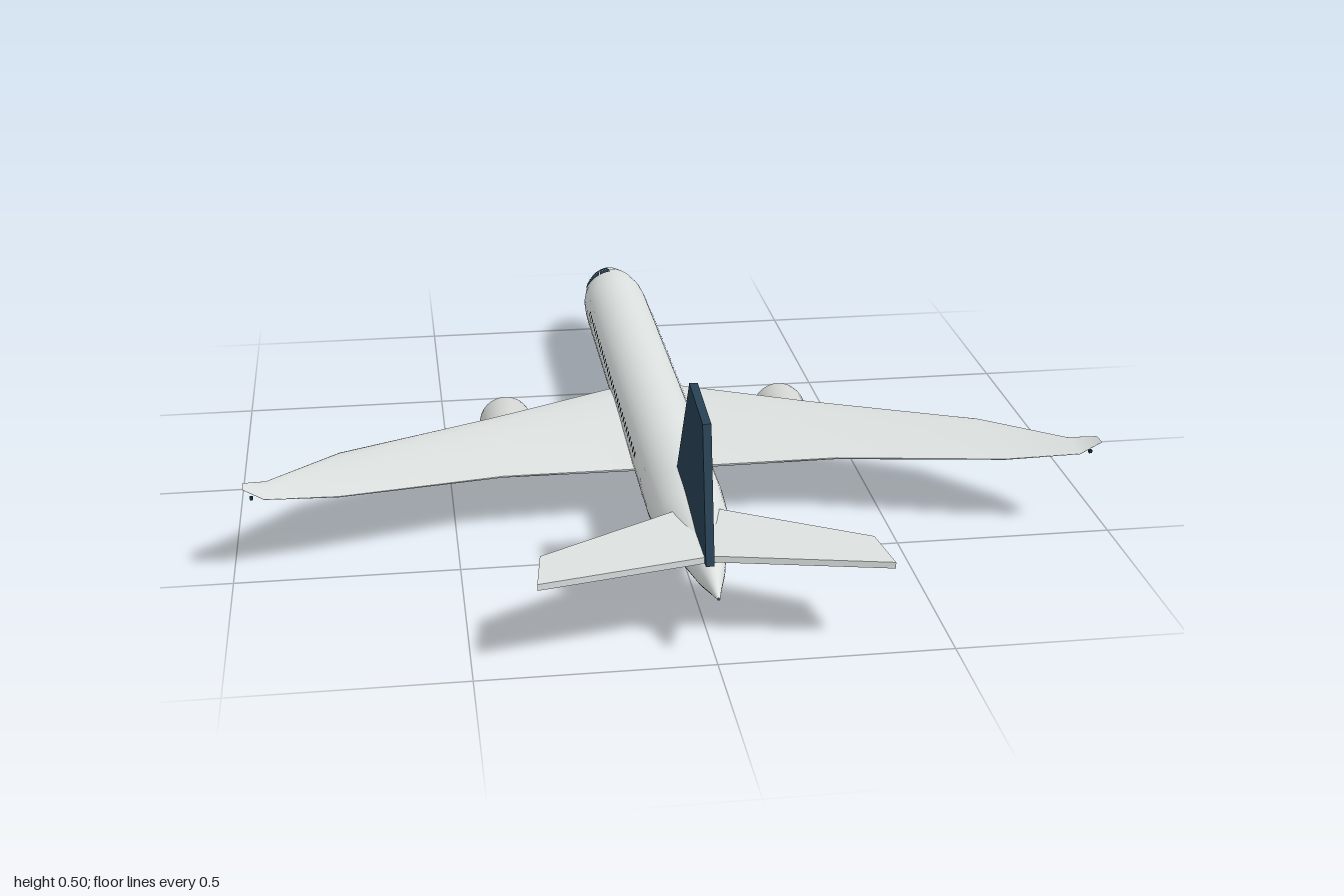
import * as THREE from 'three';
import { mergeGeometries } from 'three/addons/utils/BufferGeometryUtils.js';

const mat = (name, color, side = THREE.FrontSide) => {
  const m = new THREE.MeshStandardMaterial({ color, side });
  m.name = name;
  return m;
};

// Smooth indexed surface over an nu by nv grid of points
function grid(nu, nv, point, flip = false) {
  const pos = [], idx = [];
  for (let i = 0; i <= nu; i++) for (let j = 0; j <= nv; j++) pos.push(...point(i, j));
  for (let i = 0; i < nu; i++) for (let j = 0; j < nv; j++) {
    const a = i * (nv + 1) + j, b = a + 1, c = a + nv + 1, d = c + 1;
    idx.push(...(flip ? [a, c, b, b, c, d] : [a, b, c, b, d, c]));
  }
  const g = new THREE.BufferGeometry();
  g.setAttribute('position', new THREE.Float32BufferAttribute(pos, 3));
  g.setIndex(idx);
  g.computeVertexNormals();
  return g;
}

// Fuselage stations: z, half width, half height, centre height
const RINGS = [
  [-1, 0.003, 0.003, 0.155], [-0.98, 0.022, 0.025, 0.157], [-0.92, 0.056, 0.06, 0.16],
  [-0.86, 0.073, 0.075, 0.16], [-0.8, 0.083, 0.083, 0.16], [-0.74, 0.086, 0.085, 0.16],
  [0.54, 0.086, 0.085, 0.16], [0.65, 0.08, 0.077, 0.163], [0.75, 0.06, 0.06, 0.165],
  [0.9, 0.03, 0.036, 0.163], [1, 0.003, 0.003, 0.156],
];
const SPLIT = 0.145;

function ringAt(z) {
  let i = 0;
  while (i < RINGS.length - 2 && RINGS[i + 1][0] < z) i++;
  const t = (z - RINGS[i][0]) / (RINGS[i + 1][0] - RINGS[i][0]);
  return RINGS[i].map((v, k) => v + (RINGS[i + 1][k] - v) * t);
}
const angleAt = ([, , ry, yc], y) => Math.asin(THREE.MathUtils.clamp((y - yc) / ry, -1, 1));
const skin = ([z, rx, ry, yc], a, lift = 0) =>
  [Math.cos(a) * (rx + lift), yc + Math.sin(a) * (ry + lift), z];

// Thin plate following the fuselage skin
function skinPatch(z0, z1, a0, a1, lift, n = 4) {
  return grid(n, n, (i, j) =>
    skin(ringAt(z0 + (z1 - z0) * i / n), a0 + (a1 - a0) * j / n, lift));
}
function sidePatch(side, z, w, y0, y1, lift) {
  const r = ringAt(z), a = angleAt(r, y0), b = angleAt(r, y1);
  return side > 0 ? skinPatch(z - w / 2, z + w / 2, a, b, lift, 2)
    : skinPatch(z - w / 2, z + w / 2, Math.PI - b, Math.PI - a, lift, 2);
}

// Wing stations: x, leading z, trailing z, leading y, trailing y, thickness
const WING = [
  [0, -0.23, 0.305, 0.145, 0.138, 0.042], [0.085, -0.18, 0.31, 0.147, 0.14, 0.04],
  [0.39, -0.004, 0.33, 0.158, 0.15, 0.028], [0.76, 0.21, 0.45, 0.18, 0.178, 0.016],
  [0.92, 0.4, 0.498, 0.203, 0.203, 0.007], [0.965, 0.47, 0.51, 0.233, 0.235, 0.003],
];
// Closed aerofoil outline: chord fraction, thickness fraction
const FOIL = [[1, 0.06], [0.75, 0.28], [0.45, 0.48], [0.2, 0.48], [0.05, 0.28], [0, 0],
  [0.05, -0.28], [0.2, -0.45], [0.45, -0.42], [0.75, -0.25], [1, -0.06], [1, 0.06]];

function wingGeometry(side) {
  return grid(WING.length - 1, FOIL.length - 1, (i, j) => {
    const [x, z0, z1, y0, y1, t] = WING[i], [c, h] = FOIL[j];
    return [side * x, y0 + (y1 - y0) * c + h * t, z0 + (z1 - z0) * c];
  }, side < 0);
}

// Flat plate from an outline, extruded and centred on its thickness
function plate(points, depth) {
  const shape = new THREE.Shape(points.map(p => new THREE.Vector2(...p)));
  return new THREE.ExtrudeGeometry(shape, { depth, bevelEnabled: false }).translate(0, 0, -depth / 2);
}

export function createModel() {
  const white = mat('body white', 0xdce1e0, THREE.DoubleSide);
  const navy = mat('navy blue', 0x264154, THREE.DoubleSide);
  const silver = mat('engine silver', 0xd4d6d4, THREE.DoubleSide);
  const glass = mat('dark glass', 0x1c3140, THREE.DoubleSide);
  const model = new THREE.Group();
  model.name = 'airliner';
  const add = (name, geo, material, parent = model) => {
    const m = new THREE.Mesh(geo, material);
    m.name = name;
    parent.add(m);
    return m;
  };

  // Fuselage halves meeting at the paint line
  const N = 24;
  add('fuselageTop', grid(RINGS.length - 1, N, (i, j) => {
    const a = angleAt(RINGS[i], SPLIT);
    return skin(RINGS[i], a + (Math.PI - 2 * a) * j / N);
  }), white);
  add('fuselageBelly', grid(RINGS.length - 1, N, (i, j) => {
    const a = angleAt(RINGS[i], SPLIT);
    return skin(RINGS[i], -Math.PI - a + (Math.PI + 2 * a) * j / N);
  }), navy);

  // Cabin windows and doors
  const windows = [], doors = [];
  for (const s of [1, -1]) {
    for (let z = -0.64; z < 0.33; z += 0.03) windows.push(sidePatch(s, z, 0.013, 0.177, 0.189, 0.002));
    for (const z of [-0.69, -0.61, 0.44]) doors.push(sidePatch(s, z, 0.024, 0.138, 0.2, 0.001));
  }
  add('cabinWindows', mergeGeometries(windows), glass);
  add('doors', mergeGeometries(doors), white);

  // Cockpit panes
  const panes = [];
  for (const [a0, a1] of [[1.68, 2.02], [2.06, 2.72]])
    for (const [z0, z1] of [[-0.892, -0.858], [-0.854, -0.815]])
      panes.push(skinPatch(z0, z1, a0, a1, 0.003));
  add('cockpitWindows', mergeGeometries(panes), navy);

  // Tail fin
  const fin = plate([[-0.52, 0.225], [-0.7, 0.508], [-0.88, 0.49], [-0.94, 0.2], [-0.8, 0.19]], 0.018);
  add('tailFin', fin.rotateY(Math.PI / 2).translate(-0.008, 0, 0), navy);

  for (const s of [1, -1]) {
    const side = s > 0 ? 'left' : 'right';
    add(side + 'Wing', wingGeometry(s), white);
    add(side + 'WingLight', new THREE.BoxGeometry(0.007, 0.007, 0.008).translate(s * 0.948, 0.203, 0.485), glass);

    // Tailplane
    const tail = plate([[0, 0.665], [s * 0.05, 0.695], [s * 0.35, 0.87], [s * 0.366, 0.995], [0, 0.917]], 0.014);
    add(side + 'Tailplane', tail.rotateX(Math.PI / 2).translate(0, 0.205, 0), white);

    // Engine, its axis along z
    const engine = new THREE.Group();
    engine.name = side + 'Engine';
    engine.position.set(s * 0.35, 0.073, 0);
    model.add(engine);
    const shell = [[0.055, -0.185], [0.059, -0.191], [0.064, -0.186], [0.067, -0.165], [0.066, -0.1],
      [0.06, -0.03], [0.05, 0.032], [0.045, 0.03], [0.05, -0.04], [0.054, -0.14], [0.055, -0.185]];
    add('nacelle', new THREE.LatheGeometry(shell.map(p => new THREE.Vector2(...p)), 32)
      .rotateX(Math.PI / 2), silver, engine);
    const hub = [[0.016, -0.15], [0.016, -0.2], [0.012, -0.217], [0, -0.224]].reverse();
    add('spinner', new THREE.LatheGeometry(hub.map(p => new THREE.Vector2(...p)), 16)
      .rotateX(Math.PI / 2), silver, engine);
    add('exhaustCone', new THREE.ConeGeometry(0.016, 0.045, 16)
      .rotateX(Math.PI / 2).translate(0, 0, 0.005), silver, engine);

    // Fan discs with radial blades at both ends
    for (const [z, r, name] of [[-0.155, 0.054, 'intake'], [-0.015, 0.049, 'exhaust']]) {
      add(name + 'Disc', new THREE.CircleGeometry(r, 32).translate(0, 0, z), navy, engine);
      const blades = [];
      for (let i = 0; i < 16; i++)
        blades.push(new THREE.BoxGeometry(0.005, r - 0.014, 0.012).rotateY(0.4)
          .translate(0, (r + 0.01) / 2, z).rotateZ(i * Math.PI / 8));
      add(name + 'Blades', mergeGeometries(blades), silver, engine);
    }

    // Pylon joining engine and wing
    const pylon = plate([[0.08, 0.125], [0.03, 0.138], [-0.02, 0.155], [-0.09, 0.155], [-0.09, 0.09], [0.03, 0.09]], 0.014);
    add(side + 'Pylon', pylon.rotateY(Math.PI / 2).translate(s * 0.35, 0, 0), silver);
  }
  return model;
}
